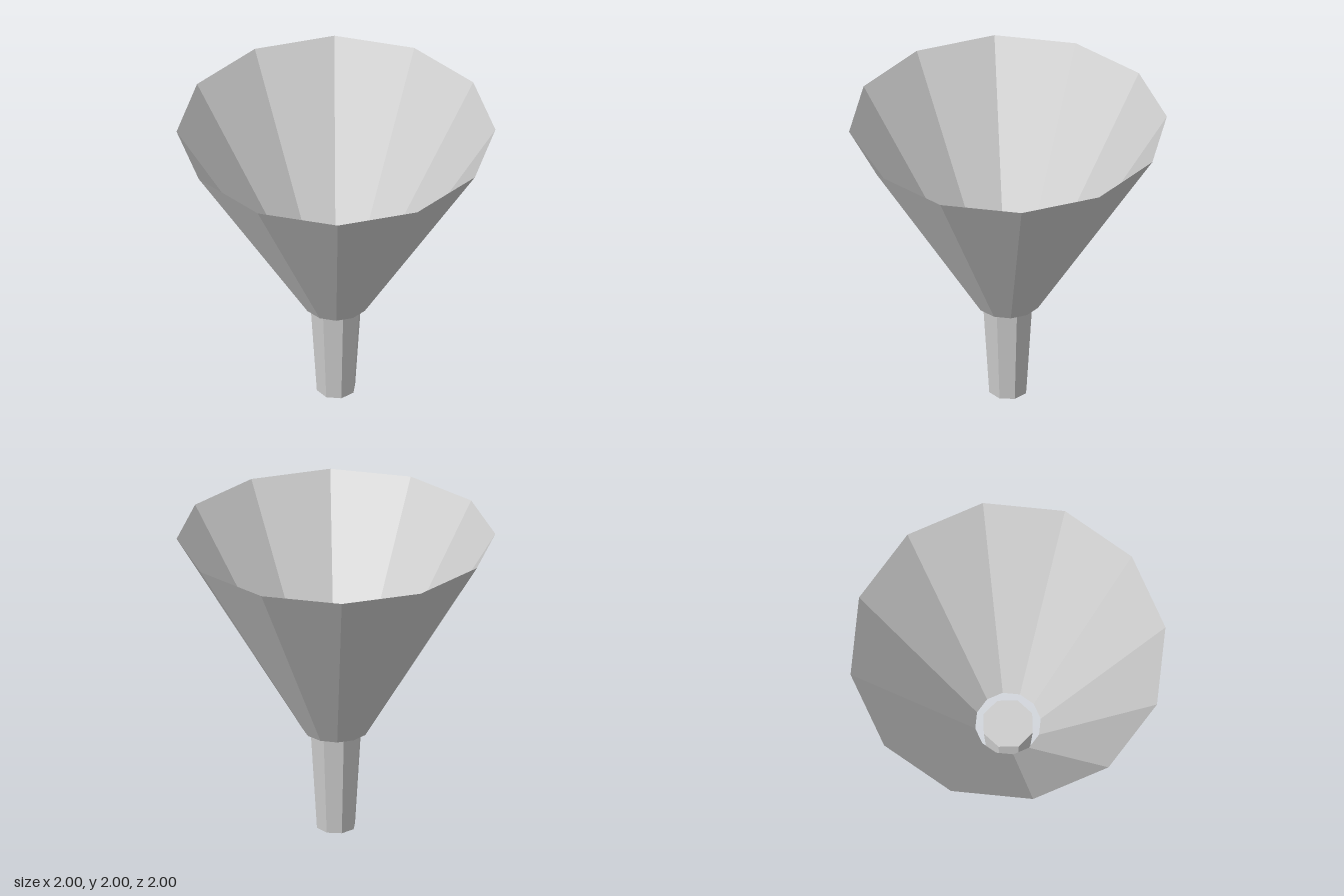
import * as THREE from 'three';

export function createModel() {
  const group = new THREE.Group();
  const neckY = 0.67;

  // Tapered, faceted section standing between two heights
  const addSection = (name, rTop, rBottom, y0, y1, sides, open) => {
    const geometry = new THREE.CylinderGeometry(rTop, rBottom, y1 - y0, sides, 1, open);
    const material = new THREE.MeshStandardMaterial({
      color: 0xcccccc,
      flatShading: true,
      side: open ? THREE.DoubleSide : THREE.FrontSide,
    });
    const mesh = new THREE.Mesh(geometry, material);
    mesh.name = name;
    mesh.position.y = (y0 + y1) / 2;
    group.add(mesh);
  };

  // Thin open cone, with a gap around the spout at its lower rim
  addSection('funnelCone', 1, 0.208, neckY, 2, 12, true);
  // Closed spout
  addSection('spout', 0.166, 0.125, 0, neckY, 8, false);

  return group;
}
